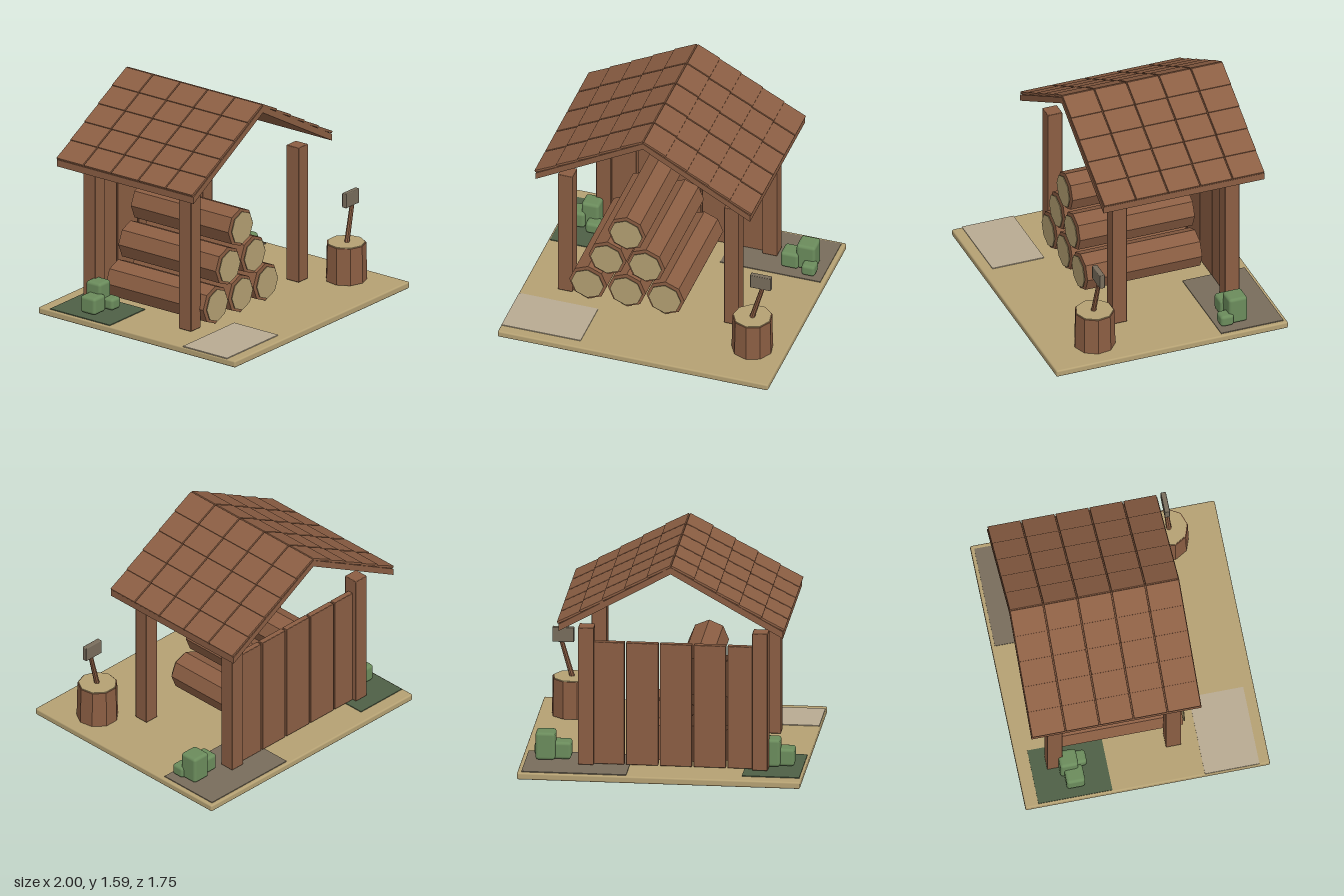
import * as THREE from 'three';
import { RoundedBoxGeometry } from 'three/addons/geometries/RoundedBoxGeometry.js';

const mat = (name, color, flat = false) => {
  const m = new THREE.MeshStandardMaterial({ color, flatShading: flat });
  m.name = name;
  return m;
};

export function createModel() {
  const model = new THREE.Group();
  model.name = 'woodShed';
  const wood = mat('brown wood', 0x8b5e43, true);
  const tan = mat('tan', 0xb5a173);
  const leaf = mat('leaf green', 0x6b8c5c);
  const moss = mat('moss green', 0x4f6046);
  const stone = mat('grey stone', 0x786d5c);
  const gravel = mat('pale gravel', 0xb8aa92);

  const add = (name, geometry, material, x, y, z, parent = model) => {
    const mesh = new THREE.Mesh(geometry, material);
    mesh.name = name;
    mesh.position.set(x, y, z);
    parent.add(mesh);
    return mesh;
  };
  const group = (name) => {
    const g = new THREE.Group();
    g.name = name;
    model.add(g);
    return g;
  };
  // box given by its lower and upper limits on each axis
  const block = (name, material, [x0, x1], [y0, y1], [z0, z1], r, parent) =>
    add(name, r ? new RoundedBoxGeometry(x1 - x0, y1 - y0, z1 - z0, 2, r)
      : new THREE.BoxGeometry(x1 - x0, y1 - y0, z1 - z0),
    material, (x0 + x1) / 2, (y0 + y1) / 2, (z0 + z1) / 2, parent);

  // ground slab and thin patches on it
  block('ground', tan, [-1, 1], [0, 0.05], [-0.875, 0.875], 0.012);
  block('gravelPatch', gravel, [-0.995, -0.41], [0.049, 0.056], [0.41, 0.8]);
  block('stonePatch', stone, [0.23, 0.97], [0.049, 0.056], [-0.85, -0.38]);
  block('mossPatch', moss, [-0.985, -0.58], [0.049, 0.056], [-0.78, -0.25]);

  // four corner posts
  const cx = -0.08;
  for (const x of [cx - 0.615, cx + 0.615])
    for (const z of [0.235, -0.615])
      block('post', wood, [x - 0.055, x + 0.055], [0.06, 1.07], [z - 0.055, z + 0.055], 0.006);

  // back wall planks
  const wall = group('backWall');
  for (let i = 0; i < 5; i++) {
    const x = -0.576 + i * 0.239;
    block('plank', wood, [x - 0.114, x + 0.114], [0.06, 0.96], [-0.637, -0.593], 0.005, wall);
  }

  // roof: chevron slab
  const roof = group('roof');
  const half = 0.793, ridge = 1.582, eave = 1.135, zBack = -0.808, depth = 1.216;
  const chevron = new THREE.Shape([
    [-half, eave - 0.05], [0, ridge - 0.05], [half, eave - 0.05],
    [half, eave], [0, ridge], [-half, eave],
  ].map(([x, y]) => new THREE.Vector2(x, y)));
  add('roofSlab', new THREE.ExtrudeGeometry(chevron, { depth, bevelEnabled: false }),
    wood, cx, 0, zBack, roof);

  // roof: overlapping shingles, lower ends lifted
  const slope = Math.atan2(ridge - eave, half);
  const pitch = Math.hypot(half, ridge - eave) / 5;
  const column = depth / 5;
  const shingle = new RoundedBoxGeometry(pitch + 0.004, 0.018, column - 0.008, 1, 0.004);
  for (const side of [-1, 1])
    for (let row = 0; row < 5; row++)
      for (let col = 0; col < 5; col++) {
        const s = (row + 0.5) * pitch, lift = 0.009;
        const tile = add('shingle', shingle, wood,
          cx + side * (s * Math.cos(slope) + lift * Math.sin(slope)),
          ridge - s * Math.sin(slope) + lift * Math.cos(slope),
          zBack + (col + 0.5) * column, roof);
        tile.rotation.z = -side * (slope - 0.04);
      }

  // stacked octagonal logs with pale cut ends
  const logs = group('logPile');
  const logGeo = new THREE.CylinderGeometry(0.14, 0.14, 0.865, 8).rotateX(Math.PI / 2);
  const endGeo = new THREE.CylinderGeometry(0.12, 0.12, 0.006, 8).rotateX(Math.PI / 2);
  for (let row = 0; row < 3; row++)
    for (let i = 0; i < 3 - row; i++) {
      const x = -0.227 + (i - (2 - row) / 2) * 0.286, y = 0.2 + row * 0.249;
      add('log', logGeo, wood, x, y, -0.11, logs);
      add('logEnd', endGeo, tan, x, y, 0.338, logs);
    }

  // chopping block
  add('stump', new THREE.CylinderGeometry(0.142, 0.148, 0.272, 9), wood, 0.76, 0.191, 0.495);
  add('stumpTop', new THREE.CylinderGeometry(0.135, 0.135, 0.008, 9), tan, 0.76, 0.329, 0.495);

  // axe leaning in the block
  const axe = group('axe');
  const a = new THREE.Vector3(0.755, 0.31, 0.502), b = new THREE.Vector3(0.857, 0.675, 0.487);
  const dir = b.clone().sub(a);
  const mid = a.clone().add(b).multiplyScalar(0.5);
  add('axeHandle', new THREE.CylinderGeometry(0.015, 0.019, dir.length(), 8), wood, mid.x, mid.y, mid.z, axe)
    .quaternion.setFromUnitVectors(new THREE.Vector3(0, 1, 0), dir.normalize());
  block('axeHead', stone, [0.745, 0.898], [0.587, 0.695], [0.469, 0.507], 0.006, axe);

  // blocky bushes: centre x, centre z, width, height
  const bushes = group('bushes');
  for (const [x, z, w, h] of [
    [0.83, -0.54, 0.14, 0.2], [0.715, -0.515, 0.13, 0.125], [0.868, -0.452, 0.1, 0.085],
    [-0.762, -0.525, 0.13, 0.2], [-0.86, -0.497, 0.132, 0.125], [-0.725, -0.44, 0.1, 0.085],
  ])
    block('bush', leaf, [x - w / 2, x + w / 2], [0.063, 0.063 + h], [z - w / 2, z + w / 2], 0.022, bushes);

  return model;
}
